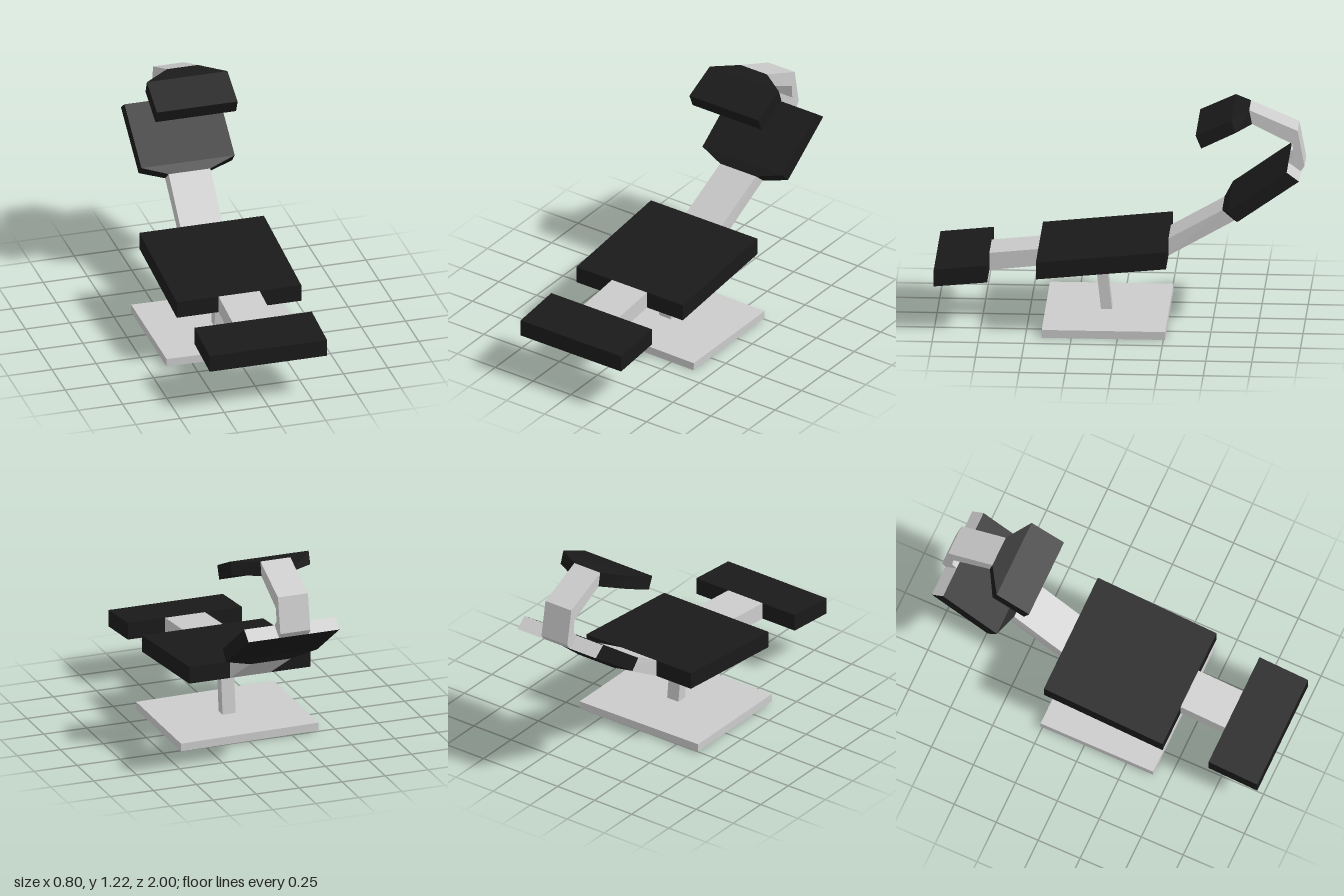
import * as THREE from 'three';

const grey = new THREE.MeshStandardMaterial({ color: 0xcccccc, flatShading: true });
const black = new THREE.MeshStandardMaterial({ color: 0x1a1a1a, flatShading: true });

// Lofts rectangular sections [centreX, halfWidth, zUpper, yUpper, zLower, yLower], listed front to back.
function loft(name, sections, material, endMaterial = material) {
  const rings = sections.map(([cx, h, zu, yu, zl, yl]) => [
    [cx + h, yu, zu], [cx - h, yu, zu], [cx - h, yl, zl], [cx + h, yl, zl],
  ]);
  const pos = [];
  const quad = (a, b, c, d) => pos.push(...a, ...b, ...c, ...a, ...c, ...d);
  quad(...rings[0]);
  for (let s = 0; s < rings.length - 1; s++) {
    const a = rings[s], b = rings[s + 1];
    for (let i = 0; i < 4; i++) {
      const j = (i + 1) % 4;
      quad(a[i], b[i], b[j], a[j]);
    }
  }
  const sideCount = pos.length / 3;
  quad(...rings[rings.length - 1].slice().reverse());

  const geo = new THREE.BufferGeometry();
  geo.setAttribute('position', new THREE.Float32BufferAttribute(pos, 3));
  geo.addGroup(0, sideCount, 0);
  geo.addGroup(sideCount, 6, 1);
  geo.computeVertexNormals();
  const mesh = new THREE.Mesh(geo, [material, endMaterial]);
  mesh.name = name;
  return mesh;
}

export function createModel() {
  const group = new THREE.Group();
  group.name = 'reclinedChair';

  // Centre of the slightly offset upper body
  const cx = 0.022;

  // Floor plate, leaning a touch to one side
  const base = new THREE.Mesh(new THREE.BoxGeometry(0.8, 0.045, 0.67), grey);
  base.name = 'basePlate';
  base.position.set(0, 0.0275, 0.075);
  base.rotation.z = -0.0125;
  group.add(base);

  // Leaning post, its sections listed from top to bottom
  const post = new THREE.Mesh(new THREE.BoxGeometry(0.076, 0.32, 0.06), grey);
  const p = post.geometry.attributes.position;
  for (let i = 0; i < p.count; i++) p.setZ(i, p.getZ(i) + p.getY(i) * 0.11);
  post.geometry.computeVertexNormals();
  post.name = 'post';
  post.position.set(0, 0.2, 0.095);
  group.add(post);

  // Leg rest, link and seat share one sloping slab
  const knee = [0.71, 0.385, 0.71, 0.288];
  const seatFront = [0.445, 0.412, 0.445, 0.317];
  const seatBack = [-0.262, 0.485, -0.262, 0.388];
  group.add(
    loft('legRest', [[0, 0.332, 1, 0.355, 1, 0.26], [0, 0.332, ...knee]], black),
    loft('legRestLink', [[0, 0.116, ...knee], [0, 0.116, ...seatFront]], grey),
    loft('seat', [[0, 0.352, ...seatFront], [0, 0.352, ...seatBack]], black),
  );

  // Rising link from seat to back pad
  const backFoot = [cx - 0.003, 0.118, -0.555, 0.66, -0.622, 0.602];
  group.add(loft('backLink', [[-0.002, 0.118, ...seatBack], backFoot], grey));

  // Back pad with tapered foot and pale top end
  const backTop = [-0.913, 0.93, -0.98, 0.88];
  group.add(loft('backPad', [
    backFoot,
    [cx, 0.264, -0.592, 0.7, -0.645, 0.643],
    [cx, 0.264, ...backTop],
  ], black, grey));

  // Hooked neck arm
  const neckEnd = [cx, 0.087, -0.715, 1.145, -0.7, 1.224];
  group.add(loft('neckArm', [
    [cx, 0.087, ...backTop],
    [cx, 0.087, -0.94, 0.96, -1, 0.91],
    [cx, 0.087, -0.935, 1.035, -0.963, 1.11],
    neckEnd,
  ], grey));

  // Head rest widening from the arm
  group.add(loft('headRest', [
    neckEnd,
    [cx, 0.228, -0.635, 1.14, -0.61, 1.21],
    [cx, 0.228, -0.447, 1.047, -0.417, 1.12],
  ], black));

  return group;
}
